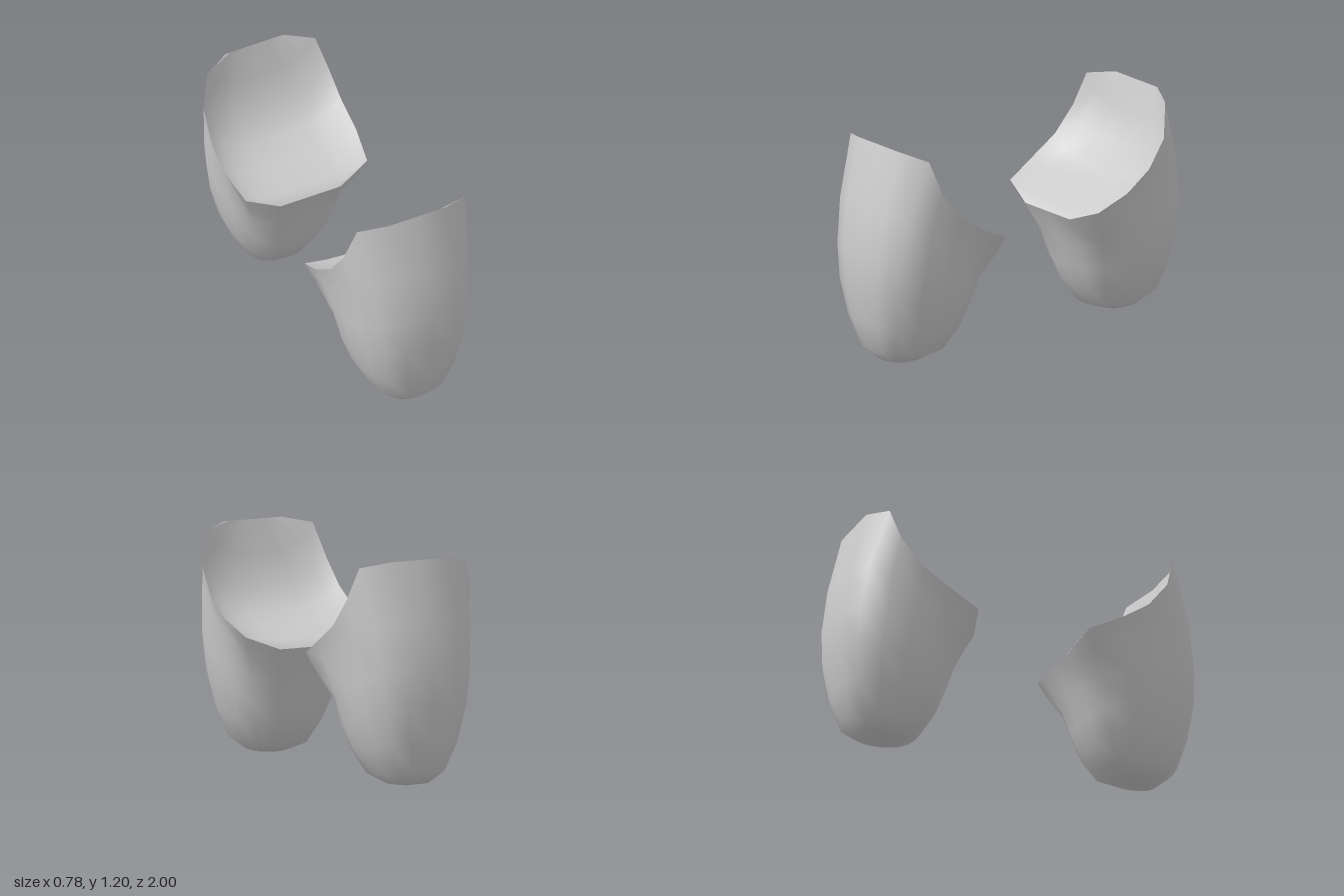
import * as THREE from 'three';
import { mergeVertices } from 'three/addons/utils/BufferGeometryUtils.js';

// Half of the flared rim, from the tall outer edge round to the low inner lip
const RIM = [
  [0, 1.195, 0.86], [0.17, 1.195, 0.86], [0.32, 1.165, 0.79], [0.37, 0.99, 0.74], [0.385, 0.85, 0.63],
  [0.39, 0.75, 0.48], [0.36, 0.67, 0.31], [0.18, 0.6, 0.265], [0, 0.6, 0.265],
];
// Half of the ring where the flare meets the body
const NECK = [
  [0, 0.88, 0.96], [0.155, 0.88, 0.945], [0.285, 0.85, 0.89], [0.335, 0.8, 0.78], [0.348, 0.73, 0.64],
  [0.35, 0.65, 0.48], [0.325, 0.58, 0.345], [0.17, 0.54, 0.3], [0, 0.54, 0.295],
];
// Body rings: [y outer, y inner, z outer, z inner, half width]
const BODY = [
  [0.64, 0.42, 1.0, 0.34, 0.332], [0.45, 0.28, 1.0, 0.388, 0.3], [0.25, 0.17, 0.97, 0.43, 0.25],
  [0.09, 0.05, 0.92, 0.51, 0.18], [0.02, 0.01, 0.84, 0.62, 0.1], [0, 0, 0.73, 0.73, 0],
];
// Half of a rounded-rectangle section: [x, z]
const SECTION = [
  [0, 1], [0.43, 0.95], [0.79, 0.78], [0.96, 0.4], [1, 0],
  [0.96, -0.4], [0.79, -0.78], [0.43, -0.95], [0, -1],
];
// Sag of the dish on the centre line, per rim row: [dy, dz]
const SAG = [[0, 0], [-0.14, 0.02], [-0.13, 0.01], [-0.1, 0], [-0.06, 0], [-0.03, 0], [0, 0]];

const mirrorRing = (half) => [...half, ...half.slice(1, -1).reverse().map(([x, y, z]) => [-x, y, z])];

function bodyRing([yo, yi, zo, zi, w]) {
  const lerp = (a, b, s) => (a + b) / 2 + ((a - b) / 2) * s;
  return mirrorRing(SECTION.map(([x, s]) => [x * w, lerp(yo, yi, s), lerp(zo, zi, s)]));
}

// Skin a grid of rows; closed rows wrap round
function skin(rows, closed, flip) {
  const n = rows[0].length;
  const index = [];
  for (let i = 0; i < rows.length - 1; i++) {
    for (let j = 0; j < (closed ? n : n - 1); j++) {
      const k = (j + 1) % n;
      const a = i * n + j, b = i * n + k, c = (i + 1) * n + j, d = (i + 1) * n + k;
      if (flip) index.push(a, b, d, a, d, c);
      else index.push(a, c, d, a, d, b);
    }
  }
  let geometry = new THREE.BufferGeometry();
  geometry.setAttribute('position', new THREE.Float32BufferAttribute(rows.flat(2), 3));
  geometry.setIndex(index);
  geometry = mergeVertices(geometry, 1e-5);
  geometry.computeVertexNormals();
  return geometry;
}

export function createModel() {
  const material = new THREE.MeshStandardMaterial({ color: 0xcccccc });

  // Outer shell, from the rim down to the rounded tip
  const shell = skin([mirrorRing(RIM), mirrorRing(NECK), ...BODY.map(bodyRing)], true, false);

  // Dished top spanning the rim from side to side
  const rows = RIM.slice(1, -1).map(([x, y, z], i) =>
    [-1, -0.8, -0.45, 0, 0.45, 0.8, 1].map((u) => {
      const s = 1 - u ** 4;
      return [x * u, y + SAG[i][0] * s, z + SAG[i][1] * s];
    }));
  const dish = skin(rows, false, true);

  const model = new THREE.Group();
  model.name = 'cupPair';
  for (const [name, turn] of [['frontCup', 0], ['backCup', Math.PI]]) {
    const cup = new THREE.Group();
    cup.name = name;
    const outer = new THREE.Mesh(shell, material);
    outer.name = 'shell';
    const inner = new THREE.Mesh(dish, material);
    inner.name = 'dishedTop';
    cup.add(outer, inner);
    cup.rotation.y = turn;
    model.add(cup);
  }
  return model;
}
